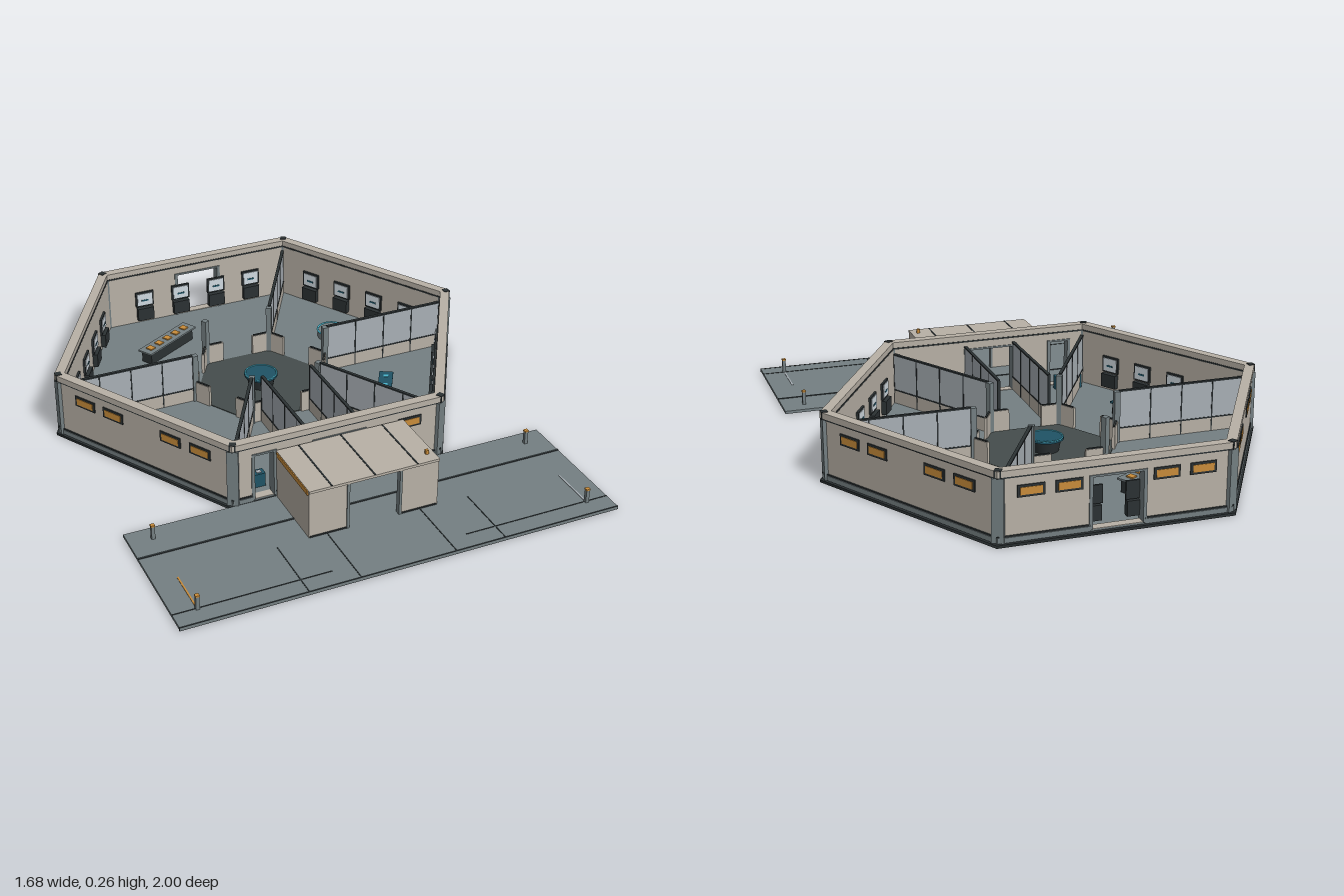
import * as THREE from 'three';

const mat = (name, color, double) => {
  const m = new THREE.MeshStandardMaterial({ color });
  m.name = name;
  if (double) m.side = THREE.DoubleSide;
  return m;
};

export function createModel() {
  const M = {
    shell: mat('warm wall', 0xb8b1a6),
    floor: mat('slate floor', 0x747f82),
    dark: mat('dark trim', 0x2b3133),
    core: mat('core floor', 0x454d4c),
    amber: mat('amber light', 0xc98c3a),
    blue: mat('deep blue', 0x1f5365),
    panel: mat('pale panel', 0xa9b0b6),
    screen: mat('screen', 0xd0d9e0),
    teal: mat('teal glow', 0x48b4cc),
  };
  const root = new THREE.Group();
  root.name = 'hexagonalStation';

  const add = (parent, name, geo, m, x = 0, y = 0, z = 0) => {
    const mesh = new THREE.Mesh(geo, m);
    mesh.name = name;
    mesh.position.set(x, y, z);
    parent.add(mesh);
    return mesh;
  };
  // box given by its centre in x and z and its bottom and top in y
  const box = (parent, name, m, x, z, w, d, y0, y1) =>
    add(parent, name, new THREE.BoxGeometry(w, y1 - y0, d), m, x, (y0 + y1) / 2, z);
  const group = (parent, name, x = 0, z = 0, ry = 0) => {
    const g = new THREE.Group();
    g.name = name;
    g.position.set(x, 0, z);
    g.rotation.y = ry;
    parent.add(g);
    return g;
  };
  const hexPoints = (r) => Array.from({ length: 6 }, (_, i) =>
    new THREE.Vector2(r * Math.cos(i * Math.PI / 3), r * Math.sin(i * Math.PI / 3)));
  const hexSlab = (parent, name, m, r, y0, y1) =>
    add(parent, name, new THREE.CylinderGeometry(r, r, y1 - y0, 6, 1, false, Math.PI / 6), m, 0, (y0 + y1) / 2, 0);
  const hexRing = (parent, name, m, r, ri, y0, y1) => {
    const s = new THREE.Shape(hexPoints(r));
    s.holes.push(new THREE.Path(hexPoints(ri).reverse()));
    const geo = new THREE.ExtrudeGeometry(s, { depth: y1 - y0, bevelEnabled: false });
    geo.rotateX(-Math.PI / 2);
    return add(parent, name, geo, m, 0, y0, 0);
  };

  const hex = group(root, 'hexBuilding', 0, -0.272);

  // foundation and floors
  hexSlab(hex, 'foundation', M.dark, 0.84, 0, 0.01);
  hexSlab(hex, 'mainFloor', M.floor, 0.825, 0.01, 0.016);
  hexSlab(hex, 'coreFloor', M.core, 0.275, 0.016, 0.019);

  // wall cap with a dark shadow line below
  hexRing(hex, 'wallCap', M.shell, 0.832, 0.79, 0.24, 0.262);
  hexRing(hex, 'capTrim', M.dark, 0.829, 0.788, 0.234, 0.24);

  // six outer walls; side 0 is the front, side 3 the back
  const L = 0.826, A = 0.715, T = 0.033;
  const doors = { 0: [[-0.1, 0.1], [-0.335, -0.25]], 3: [[-0.095, 0.095]] };
  for (let i = 0; i < 6; i++) {
    const side = group(hex, 'wallSide', 0, 0, i * Math.PI / 3);
    const openings = doors[i] || [];
    const s = new THREE.Shape([[-L / 2, 0.016], [L / 2, 0.016], [L / 2, 0.234], [-L / 2, 0.234]]
      .map(([x, y]) => new THREE.Vector2(x, y)));
    for (const [a, b] of openings) {
      s.holes.push(new THREE.Path([[a, 0.018], [a, 0.2], [b, 0.2], [b, 0.018]]
        .map(([x, y]) => new THREE.Vector2(x, y))));
    }
    add(side, 'outerWall', new THREE.ExtrudeGeometry(s, { depth: T, bevelEnabled: false }), M.shell, 0, 0, A - T);

    // base trim, interrupted at the openings
    const cuts = [-L / 2, ...openings.flat().sort((p, q) => p - q), L / 2];
    for (let k = 0; k < cuts.length; k += 2) {
      const c = (cuts[k] + cuts[k + 1]) / 2, w = cuts[k + 1] - cuts[k];
      box(side, 'baseRail', M.floor, c, A + 0.001, w, 0.008, 0.012, 0.03);
      box(side, 'baseLine', M.dark, c, A + 0.001, w, 0.006, 0.031, 0.036);
    }
    // door frames
    for (const [a, b] of openings) {
      for (const x of [a, b]) box(side, 'doorJamb', M.floor, x, A - T / 2, 0.012, T + 0.008, 0.016, 0.205);
      box(side, 'doorLintel', M.floor, (a + b) / 2, A - T / 2, b - a + 0.012, T + 0.008, 0.2, 0.207);
    }
    // lit windows with dark frames
    const windows = i === 0 ? [0.28] : i === 3 ? [-0.3, -0.17, 0.17, 0.3] : [-0.27, -0.135, 0.135, 0.27];
    for (const x of windows) {
      box(side, 'windowFrame', M.dark, x, A + 0.001, 0.094, 0.006, 0.164, 0.206);
      box(side, 'windowPane', M.amber, x, A + 0.004, 0.076, 0.004, 0.172, 0.198);
    }
    // wall workstations on the inside
    if (i !== 0) for (const x of [-0.24, -0.08, 0.08, 0.24]) {
      box(side, 'stationDesk', M.dark, x, A - T - 0.008, 0.07, 0.024, 0.03, 0.085);
      box(side, 'screenFrame', M.dark, x, A - T - 0.004, 0.078, 0.008, 0.09, 0.156);
      box(side, 'screenFace', M.screen, x, A - T - 0.009, 0.064, 0.003, 0.097, 0.149);
      box(side, 'screenMark', M.blue, x, A - T - 0.011, 0.03, 0.002, 0.115, 0.122);
    }
    // corner column at the end of this side
    const corner = group(hex, 'cornerColumn', 0, 0, i * Math.PI / 3 + Math.PI / 6);
    box(corner, 'columnShaft', M.floor, 0, 0.806, 0.042, 0.042, 0.012, 0.236);
    box(corner, 'columnCap', M.dark, 0, 0.816, 0.024, 0.024, 0.236, 0.264);

    // core post and low panels leaving a gap on each side
    const post = group(hex, 'corePost', 0, 0, i * Math.PI / 3 + Math.PI / 6);
    box(post, 'corePostShaft', M.floor, 0, 0.276, 0.022, 0.022, 0.016, 0.215);
    for (const d of [-1, 1]) {
      box(side, 'corePanel', M.shell, d * 0.1, 0.24, 0.072, 0.012, 0.016, 0.1);
      box(side, 'corePanelCap', M.dark, d * 0.1, 0.24, 0.06, 0.007, 0.1, 0.104);
    }
  }

  // interior partition running along local z
  const partition = (parent, x, z0, z1, n) => {
    const c = (z0 + z1) / 2, len = z1 - z0;
    box(parent, 'partitionBase', M.shell, x, c, 0.01, len, 0.016, 0.07);
    box(parent, 'partitionPanel', M.panel, x, c, 0.008, len, 0.07, 0.212);
    box(parent, 'partitionCap', M.dark, x, c, 0.012, len, 0.212, 0.218);
    box(parent, 'partitionRail', M.dark, x, c, 0.012, len, 0.068, 0.073);
    for (let k = 0; k <= n; k++)
      box(parent, 'partitionSeam', M.dark, x, z0 + len * k / n, 0.011, 0.005, 0.016, 0.214);
  };
  for (const deg of [30, 90, 150, 270, 330]) {
    partition(group(hex, 'radialPartition', 0, 0, deg * Math.PI / 180), 0, 0.285, 0.785, 4);
  }
  for (const x of [-0.1, 0.1]) partition(hex, x, 0.25, 0.685, 4);

  // round command console in the core
  add(hex, 'coreConsole', new THREE.CylinderGeometry(0.058, 0.048, 0.046, 24), M.dark, 0, 0.042, 0);
  add(hex, 'coreConsoleTop', new THREE.CylinderGeometry(0.066, 0.066, 0.008, 32), M.blue, 0, 0.068, 0);
  add(hex, 'coreConsoleRing', new THREE.TorusGeometry(0.062, 0.003, 6, 32).rotateX(Math.PI / 2), M.teal, 0, 0.072, 0);

  // round plotting table
  add(root, 'plotTable', new THREE.CylinderGeometry(0.058, 0.058, 0.03, 28), M.floor, 0.425, 0.031, -0.52);
  add(root, 'plotTableRing', new THREE.TorusGeometry(0.058, 0.004, 6, 28).rotateX(Math.PI / 2), M.teal, 0.425, 0.046, -0.52);

  // slanted blue consoles
  for (const s of [-1, 1]) {
    const g = group(root, 'sideConsole', s * 0.425, -0.027, -s * Math.PI / 6);
    box(g, 'consoleBody', M.dark, 0, 0, 0.045, 0.125, 0.016, 0.058);
    box(g, 'consoleTop', M.blue, 0, 0, 0.055, 0.14, 0.058, 0.066);
    if (s > 0) for (const z of [-0.035, 0.03]) box(g, 'consoleKey', M.teal, 0, z, 0.018, 0.014, 0.066, 0.068);
  }

  // long bench with amber trays
  const bench = group(root, 'workBench', -0.24, -0.682, Math.PI / 6);
  box(bench, 'benchBody', M.dark, 0, 0, 0.26, 0.05, 0.016, 0.064);
  box(bench, 'benchTop', M.floor, 0, 0, 0.285, 0.066, 0.064, 0.071);
  for (let k = -2; k <= 2; k++) box(bench, 'benchTray', M.amber, k * 0.052, 0, 0.026, 0.028, 0.071, 0.076);

  // small reception console
  box(root, 'receptionConsole', M.blue, -0.315, 0.362, 0.11, 0.034, 0.016, 0.07);
  for (let k = -1; k <= 1; k++) box(root, 'receptionKey', M.panel, -0.315 + k * 0.034, 0.362, 0.018, 0.016, 0.07, 0.073);

  // landing apron with panel seams
  box(root, 'apron', M.floor, 0, 0.725, 1.65, 0.55, 0.002, 0.013);
  box(root, 'apronEdge', M.dark, 0, 0.997, 1.652, 0.006, 0.001, 0.014);
  box(root, 'apronJoint', M.dark, 0, 0.602, 1.65, 0.009, 0.01, 0.015);
  for (const s of [-1, 1]) {
    for (const x of [0.18, 0.37]) box(root, 'apronSeam', M.dark, s * x, 0.865, 0.004, 0.265, 0.01, 0.0145);
    box(root, 'apronSeam', M.dark, s * 0.54, 0.927, 0.57, 0.004, 0.01, 0.0145);
    box(root, 'guideLine', s < 0 ? M.amber : M.panel, s * 0.738, 0.84, 0.006, 0.18, 0.01, 0.015);
    for (const z of [0.512, 0.93]) {
      box(root, 'markerPost', M.floor, s * 0.738, z, 0.013, 0.013, 0.012, 0.064);
      box(root, 'markerLight', M.amber, s * 0.738, z, 0.015, 0.015, 0.064, 0.07);
    }
  }

  // entrance vestibule
  const porch = group(root, 'vestibule');
  for (const s of [-1, 1]) {
    box(porch, 'porchSide', M.shell, s * 0.243, 0.588, 0.012, 0.27, 0.012, 0.196);
    box(porch, 'porchFront', M.shell, s * 0.176, 0.719, 0.146, 0.014, 0.012, 0.196);
    box(porch, 'porchJamb', M.floor, s * 0.101, 0.719, 0.01, 0.022, 0.012, 0.196);
    box(porch, 'porchBase', M.dark, s * 0.176, 0.727, 0.14, 0.004, 0.012, 0.018);
  }
  box(porch, 'porchRoof', M.shell, 0, 0.59, 0.5, 0.28, 0.196, 0.206);
  for (const x of [-0.164, 0, 0.164]) box(porch, 'roofSeam', M.dark, x, 0.59, 0.006, 0.276, 0.2, 0.2075);
  box(porch, 'sideLightStrip', M.amber, -0.251, 0.59, 0.005, 0.26, 0.186, 0.204);
  box(porch, 'innerNotice', M.amber, -0.235, 0.6, 0.004, 0.09, 0.09, 0.15);
  box(porch, 'roofBeacon', M.amber, 0.222, 0.682, 0.012, 0.012, 0.206, 0.222);

  return root;
}
